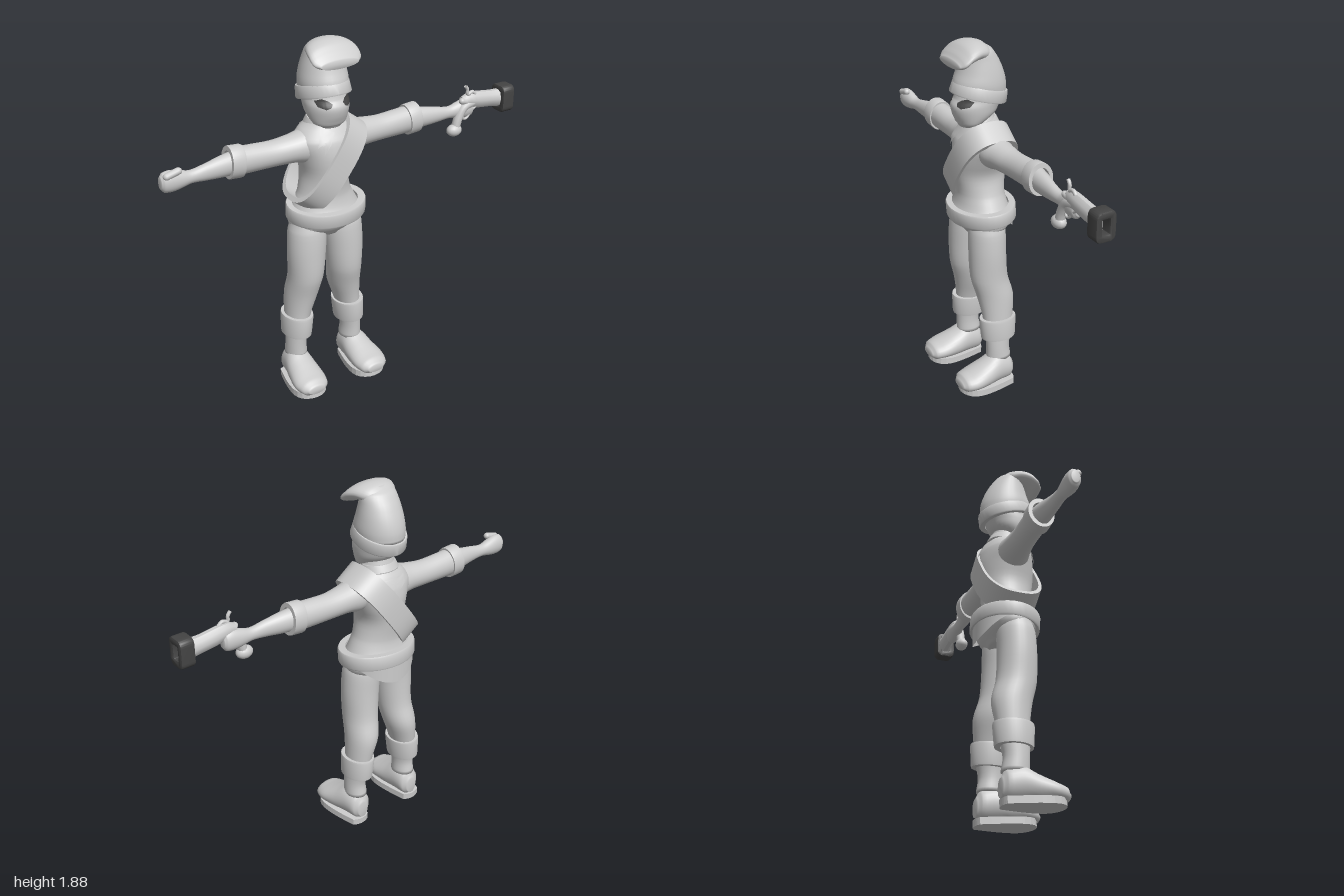
import * as THREE from 'three';
import { toCreasedNormals } from 'three/addons/utils/BufferGeometryUtils.js';

const clay = new THREE.MeshStandardMaterial({ color: 0xcccccc, side: THREE.DoubleSide });
clay.name = 'light grey';
const dark = new THREE.MeshStandardMaterial({ color: 0x444444, side: THREE.DoubleSide });
dark.name = 'dark grey';

const MID = -0.14; // body centre line

function buffer(pos, idx) {
  const g = new THREE.BufferGeometry();
  g.setAttribute('position', new THREE.Float32BufferAttribute(pos, 3));
  g.setIndex(idx);
  g.computeVertexNormals();
  return g;
}

// Smooth closed skin through elliptical sections [along, c1, c2, r1, r2].
// Axis y: c1=x c2=z. Axis x: c1=z c2=y. Axis z: c1=y c2=x.
function loft(axis, sections, sides = 28, sub = 4) {
  const s = sections.slice().sort((a, b) => a[0] - b[0]);
  const order = { x: [0, 2, 1], y: [1, 0, 2], z: [2, 1, 0] }[axis];
  const rows = [];
  const cat = (a, b, c, d, t) =>
    0.5 * (2 * b + (c - a) * t + (2 * a - 5 * b + 4 * c - d) * t * t + (3 * b - a - 3 * c + d) * t * t * t);
  for (let i = 0; i < s.length - 1; i++) {
    const [p, q, r, w] = [s[Math.max(i - 1, 0)], s[i], s[i + 1], s[Math.min(i + 2, s.length - 1)]];
    for (let k = 0; k < sub; k++) {
      rows.push(q.map((_, m) => m === 0 ? q[0] + (r[0] - q[0]) * k / sub : cat(p[m], q[m], r[m], w[m], k / sub)));
    }
  }
  rows.push(s[s.length - 1]);
  const pos = [], idx = [];
  const add = (a, b, c) => {
    const v = [0, 0, 0];
    v[order[0]] = a; v[order[1]] = b; v[order[2]] = c;
    pos.push(...v);
  };
  rows.forEach(([a, c1, c2, r1, r2]) => {
    for (let j = 0; j < sides; j++) {
      const t = j / sides * Math.PI * 2;
      add(a, c1 + r1 * Math.cos(t), c2 + r2 * Math.sin(t));
    }
  });
  for (let i = 0; i < rows.length - 1; i++) for (let j = 0; j < sides; j++) {
    const a = i * sides + j, c = i * sides + (j + 1) % sides;
    idx.push(a, a + sides, c, c, a + sides, c + sides);
  }
  const base = rows.length * sides, top = base - sides;
  for (const r of [rows[0], rows[rows.length - 1]]) add(r[0], r[1], r[2]);
  for (let j = 0; j < sides; j++) {
    const k = (j + 1) % sides;
    idx.push(base, j, k, base + 1, top + k, top + j);
  }
  return buffer(pos, idx);
}

// Upright ring with a flat section, flaring from bottom to top
function ring(rx, rz, h, flare = 1, inner = 0.82) {
  const y = h / 2;
  const pts = [[inner, -y], [0.98, -y], [1, -y * 0.8], [flare, y * 0.8], [flare * 0.98, y], [inner, y], [inner, -y]];
  const g = new THREE.LatheGeometry(pts.map(p => new THREE.Vector2(...p)), 36);
  return toCreasedNormals(g.scale(rx, 1, rz), 0.6);
}

// Thin plate laid over a surface from the front or back (dir = 1 or -1)
function plate(target, outline, lift, dir = 1) {
  const n = outline.length, cx = outline.reduce((a, p) => a + p[0], 0) / n, cy = outline.reduce((a, p) => a + p[1], 0) / n;
  const ray = new THREE.Raycaster(), pos = [], idx = [], R = 5, S = n * 4;
  for (let i = 0; i <= R; i++) for (let j = 0; j < S; j++) {
    const a = outline[Math.floor(j / 4)], b = outline[(Math.floor(j / 4) + 1) % n], t = (j % 4) / 4, k = i / R;
    const x = cx + (a[0] + (b[0] - a[0]) * t - cx) * k, y = cy + (a[1] + (b[1] - a[1]) * t - cy) * k;
    ray.set(new THREE.Vector3(x, y, dir), new THREE.Vector3(0, 0, -dir));
    const hit = ray.intersectObject(target)[0];
    pos.push(x, y, (hit ? hit.point.z : 0) + dir * lift);
    if (i < R) {
      const p = i * S + j, q = i * S + (j + 1) % S;
      idx.push(p, p + S, q, q, p + S, q + S);
    }
  }
  return buffer(pos, idx);
}

function tube(points, r) {
  const c = new THREE.CatmullRomCurve3(points.map(p => new THREE.Vector3(...p)));
  return new THREE.TubeGeometry(c, 16, r, 10);
}

function roundRect(path, w, h, r) {
  path.moveTo(-w + r, -h);
  path.lineTo(w - r, -h).quadraticCurveTo(w, -h, w, -h + r).lineTo(w, h - r).quadraticCurveTo(w, h, w - r, h);
  path.lineTo(-w + r, h).quadraticCurveTo(-w, h, -w, h - r).lineTo(-w, -h + r).quadraticCurveTo(-w, -h, -w + r, -h);
  return path;
}

// Flat diagonal band looping around the chest
function sashGeometry() {
  const pos = [], idx = [], N = 56, sp = (v, p) => Math.sign(v) * Math.abs(v) ** p;
  for (let i = 0; i < N; i++) {
    const t = i / N * Math.PI * 2, u = sp(Math.cos(t), 0.75), v = sp(Math.sin(t), 0.75);
    for (const [k, w] of [[0.9, -0.062], [1, -0.062], [1, 0.062], [0.9, 0.062]]) {
      pos.push(-0.135 - 0.602 * 0.258 * u * k + 0.798 * w, 1.25 - 0.798 * 0.258 * u * k - 0.602 * w, -0.028 + 0.155 * v * k);
    }
    const n = (i + 1) % N;
    for (let j = 0; j < 4; j++) {
      const a = i * 4 + j, b = i * 4 + (j + 1) % 4, c = n * 4 + j, d = n * 4 + (j + 1) % 4;
      idx.push(a, c, b, b, c, d);
    }
  }
  return toCreasedNormals(buffer(pos, idx), 0.7);
}

export function createModel() {
  const model = new THREE.Group();
  const part = (name, geo, mat = clay) => {
    const m = new THREE.Mesh(geo, mat);
    m.name = name;
    model.add(m);
    return m;
  };

  // Torso, coat trim and sash
  const torso = part('torso', loft('y', [
    [0.87, MID, -0.03, 0.09, 0.08], [0.92, MID, -0.03, 0.185, 0.125], [0.98, MID, -0.03, 0.192, 0.15],
    [1.04, MID, -0.03, 0.165, 0.13], [1.1, MID, -0.03, 0.135, 0.122], [1.2, MID, -0.03, 0.118, 0.135],
    [1.3, -0.13, -0.03, 0.15, 0.143], [1.38, -0.125, -0.03, 0.178, 0.13], [1.43, -0.125, -0.033, 0.145, 0.105],
    [1.47, -0.135, -0.03, 0.085, 0.078], [1.56, MID, -0.03, 0.06, 0.06]], 36));
  part('sash', sashGeometry());
  part('belt', ring(0.212, 0.17, 0.075, 1.0, 0.8).rotateX(0.07).translate(-0.13, 0.995, -0.03));
  part('collar', ring(0.1, 0.09, 0.04, 0.88, 0.6).rotateX(0.15).translate(-0.135, 1.465, -0.035));
  part('lapel', plate(torso, [[-0.2, 1.455], [-0.235, 1.37], [-0.205, 1.38], [-0.21, 1.33], [-0.14, 1.43]], 0.009));
  part('backCollar', plate(torso, [[-0.22, 1.43], [-0.05, 1.43], [-0.07, 1.39], [-0.135, 1.36], [-0.2, 1.39]], 0.009, -1));

  // Coat tail hanging under the back of the belt
  const tail = new THREE.CylinderGeometry(0.2, 0.2, 0.1, 24, 3, true, Math.PI - 1.3, 2.6);
  const tp = tail.attributes.position;
  for (let i = 0; i < tp.count; i++) {
    const low = 0.5 - tp.getY(i) / 0.1;
    tp.setY(i, 0.05 - low * (0.03 + 0.1 * Math.max(0, -tp.getZ(i) / 0.2) ** 2));
  }
  tail.computeVertexNormals();
  part('coatTail', tail.scale(0.97, 1, 0.8).translate(MID, 0.95, -0.03));

  // Head and eyes
  const head = part('head', loft('y', [
    [1.455, MID, 0.045, 0.05, 0.035], [1.475, MID, 0.03, 0.085, 0.064], [1.52, MID, 0.005, 0.104, 0.108],
    [1.565, MID, -0.005, 0.111, 0.125], [1.6, MID, -0.022, 0.111, 0.122], [1.68, MID, -0.03, 0.11, 0.115]], 36));
  for (const s of [-1, 1]) {
    const eye = [[0.028, 1.588], [0.045, 1.602], [0.07, 1.612], [0.094, 1.6], [0.088, 1.575], [0.06, 1.564], [0.038, 1.572]];
    part(s > 0 ? 'leftEye' : 'rightEye', plate(head, eye.map(([x, y]) => [MID + s * x, y])[s > 0 ? 'slice' : 'reverse'](), 0.005), dark);
  }

  // Cap with a folded-over top
  part('capCrown', loft('y', [
    [1.62, MID, -0.035, 0.115, 0.13], [1.67, MID, -0.028, 0.12, 0.136], [1.73, MID, -0.03, 0.113, 0.118],
    [1.79, MID, -0.025, 0.102, 0.095], [1.84, MID, -0.015, 0.09, 0.07], [1.872, MID, 0.0, 0.05, 0.04]], 32));
  part('capFold', loft('z', [
    [-0.07, 1.825, MID, 0.025, 0.06], [-0.03, 1.832, MID, 0.045, 0.095], [0.02, 1.838, MID, 0.047, 0.118],
    [0.07, 1.825, MID, 0.045, 0.131], [0.11, 1.798, MID, 0.036, 0.128], [0.135, 1.785, MID, 0.02, 0.1]], 32));
  part('capBand', ring(0.132, 0.15, 0.062, 0.96, 0.8).rotateX(-0.26).translate(MID, 1.623, -0.028));

  for (const s of [-1, 1]) {
    const side = s > 0 ? 'left' : 'right';
    // Legs, boot cuffs and shoes
    const lx = d => -0.145 + s * d;
    part(side + 'Leg', loft('y', [
      [0.17, lx(0.167), -0.05, 0.056, 0.068], [0.24, lx(0.168), -0.045, 0.053, 0.064], [0.32, lx(0.162), -0.05, 0.056, 0.075],
      [0.42, lx(0.148), -0.055, 0.067, 0.085], [0.53, lx(0.128), -0.05, 0.083, 0.1], [0.64, lx(0.115), -0.022, 0.09, 0.1],
      [0.78, lx(0.11), -0.015, 0.099, 0.098], [0.9, lx(0.103), -0.017, 0.1, 0.095], [0.97, lx(0.1), -0.02, 0.085, 0.08]]));
    part(side + 'BootCuff', ring(0.076, 0.096, 0.115, 1.06, 0.7).rotateZ(s * 0.06).translate(lx(0.157), 0.35, -0.052));
    part(side + 'Shoe', loft('z', [
      [-0.125, 0.09, lx(0.172), 0.045, 0.03], [-0.1, 0.105, lx(0.172), 0.075, 0.058], [-0.03, 0.115, lx(0.174), 0.088, 0.071],
      [0.04, 0.098, lx(0.178), 0.073, 0.083], [0.12, 0.084, lx(0.183), 0.054, 0.09], [0.175, 0.077, lx(0.183), 0.043, 0.075],
      [0.198, 0.072, lx(0.183), 0.02, 0.045]]));
    const sole = new THREE.Shape();
    sole.moveTo(-0.05, 0.11);
    sole.bezierCurveTo(-0.075, 0.02, -0.09, -0.04, -0.09, -0.1).bezierCurveTo(-0.09, -0.22, 0.09, -0.22, 0.09, -0.1);
    sole.bezierCurveTo(0.09, -0.04, 0.075, 0.02, 0.05, 0.11).quadraticCurveTo(0, 0.14, -0.05, 0.11);
    const soleGeo = new THREE.ExtrudeGeometry(sole, { depth: 0.035, bevelEnabled: false, curveSegments: 10 });
    part(side + 'Sole', soleGeo.rotateX(-Math.PI / 2).rotateX(-0.06).translate(lx(0.18), 0.011, 0));

    // Arms, sleeve cuffs and fists
    const ax = d => -0.115 + s * d;
    part(side + 'Sleeve', loft('x', [
      [ax(0.04), -0.03, 1.355, 0.07, 0.06], [ax(0.12), -0.03, 1.35, 0.085, 0.085], [ax(0.2), -0.035, 1.347, 0.073, 0.071],
      [ax(0.3), -0.04, 1.342, 0.062, 0.065], [ax(0.42), -0.042, 1.345, 0.06, 0.068], [ax(0.5), -0.042, 1.348, 0.06, 0.07]]));
    part(side + 'SleeveCuff', ring(0.082, 0.068, 0.068, 1, 0.7).rotateZ(Math.PI / 2 + s * 0.08).translate(ax(0.503), 1.348, -0.042));
    part(side + 'Hand', loft('x', [
      [ax(0.48), -0.042, 1.346, 0.05, 0.058], [ax(0.57), -0.036, 1.342, 0.042, 0.053], [ax(0.66), -0.028, 1.338, 0.031, 0.041],
      [ax(0.735), -0.026, 1.335, 0.028, 0.032], [ax(0.79), -0.024, 1.337, 0.034, 0.045], [ax(0.835), -0.022, 1.34, 0.036, 0.053],
      [ax(0.87), -0.022, 1.34, 0.032, 0.048], [ax(0.885), -0.022, 1.34, 0.02, 0.03]]));
    part(side + 'Thumb', new THREE.CapsuleGeometry(0.017, 0.06, 6, 12)
      .rotateZ(Math.PI / 2 - s * 0.25).translate(ax(0.83), 1.383, 0.0));
  }

  // Flared pistol in the left hand
  part('pistolBarrel', toCreasedNormals(loft('x', [
    [0.69, -0.01, 1.385, 0.022, 0.025], [0.73, -0.01, 1.386, 0.03, 0.04], [0.8, -0.01, 1.376, 0.034, 0.046],
    [0.88, -0.01, 1.366, 0.036, 0.045], [0.945, -0.008, 1.36, 0.04, 0.05]], 10, 2), 0.7));
  part('pistolGrip', tube([[0.76, 1.37, -0.005], [0.7, 1.355, 0], [0.665, 1.3, 0], [0.645, 1.23, 0]], 0.024));
  part('pistolButt', new THREE.SphereGeometry(0.044, 18, 12).scale(1, 0.75, 0.75).translate(0.642, 1.238, 0));
  part('pistolHammer', tube([[0.755, 1.4, 0.0], [0.72, 1.425, 0], [0.718, 1.45, 0], [0.705, 1.47, 0]], 0.009));
  part('pistolFlint', tube([[0.72, 1.42, 0], [0.75, 1.43, 0], [0.77, 1.415, 0]], 0.01));
  part('triggerGuard', tube([[0.78, 1.345, 0], [0.75, 1.325, 0], [0.72, 1.29, 0], [0.7, 1.29, 0], [0.69, 1.32, 0]], 0.007));
  const mouth = roundRect(new THREE.Shape(), 0.043, 0.064, 0.025);
  mouth.holes.push(roundRect(new THREE.Path(), 0.028, 0.045, 0.014));
  const muzzle = new THREE.ExtrudeGeometry(mouth, { depth: 0.055, bevelThickness: 0.01, bevelSize: 0.009, bevelSegments: 2 });
  part('pistolMuzzle', toCreasedNormals(muzzle, 0.5).rotateY(Math.PI / 2).translate(0.935, 1.358, -0.003), dark);

  return model;
}
